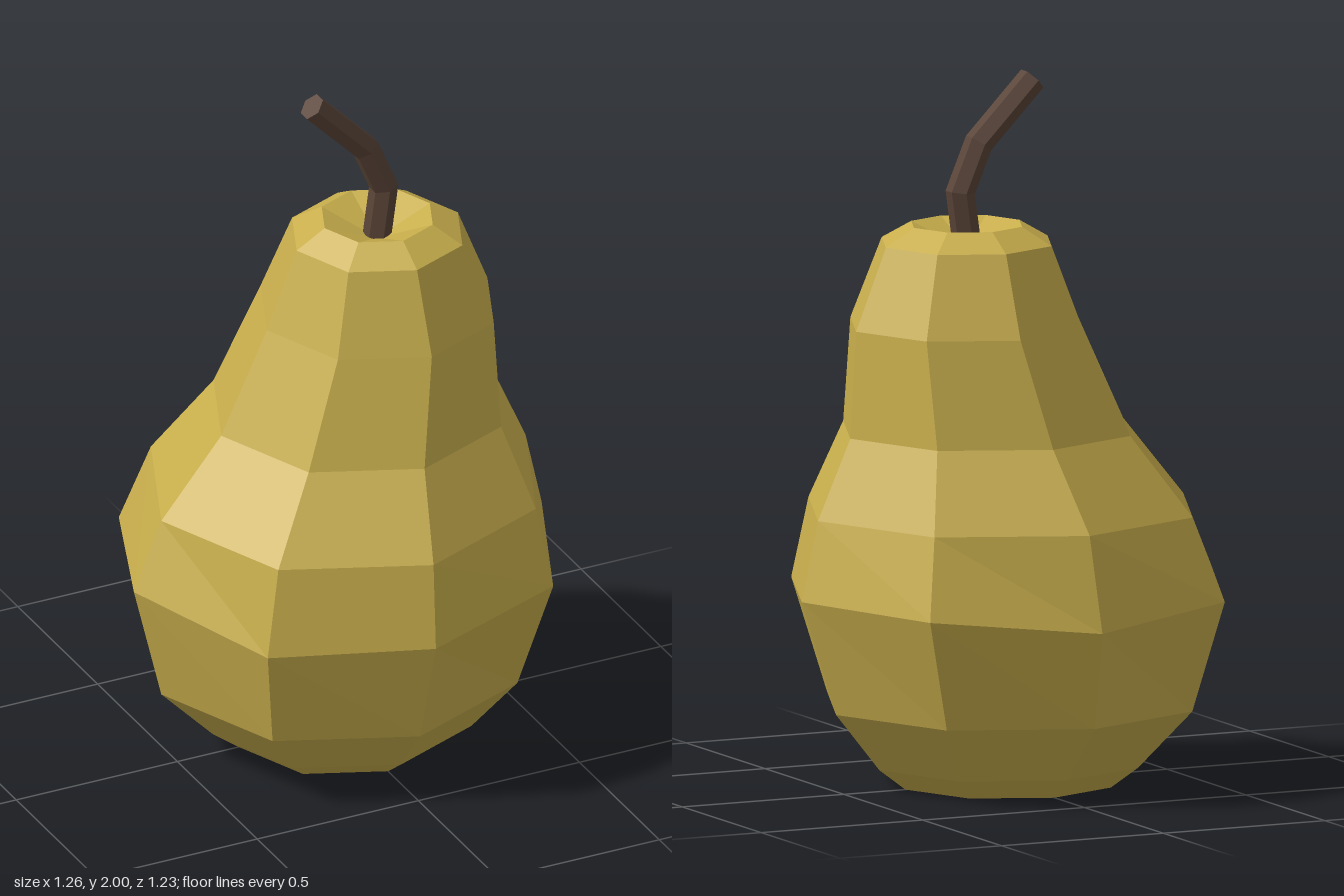
import * as THREE from 'three';

// Skin a stack of rings (arrays of Vector3 running from +x towards +z) with flat faces
function loft(rings) {
  const pos = [];
  const tri = (a, b, c) => {
    if (a.distanceTo(b) < 1e-6 || b.distanceTo(c) < 1e-6 || a.distanceTo(c) < 1e-6) return;
    for (const p of [a, b, c]) pos.push(p.x, p.y, p.z);
  };
  for (let i = 0; i < rings.length - 1; i++) {
    const low = rings[i], up = rings[i + 1], n = low.length;
    for (let j = 0; j < n; j++) {
      const k = (j + 1) % n;
      tri(low[j], up[j], up[k]);
      tri(low[j], up[k], low[k]);
    }
  }
  const geo = new THREE.BufferGeometry();
  geo.setAttribute('position', new THREE.Float32BufferAttribute(pos, 3));
  geo.computeVertexNormals();
  return geo;
}

// Eight-sided body leaning to +x at the neck, hollowed at both ends
function bodyGeometry() {
  // [y, centre x, radius]
  const profile = [
    [0.09, 0, 0], [0.07, 0, 0.17], [0, 0, 0.31], [0.06, 0, 0.39],
    [0.225, -0.013, 0.537], [0.54, 0, 0.63], [0.775, 0.015, 0.565],
    [1.0, 0.058, 0.422], [1.3, 0.12, 0.342], [1.53, 0.12, 0.25],
    [1.58, 0.12, 0.163], [1.51, 0.12, 0],
  ];
  // Slight unevenness of the belly ring
  const bellyR = [0.63, 0.63, 0.61, 0.615, 0.635, 0.645, 0.615, 0.643];
  const bellyY = [0.55, 0.545, 0.535, 0.525, 0.57, 0.54, 0.505, 0.545];
  return loft(profile.map(([y, cx, r], i) =>
    Array.from({ length: 8 }, (_, j) => {
      const a = (j * Math.PI) / 4;
      const rr = i === 5 ? bellyR[j] : r;
      return new THREE.Vector3(cx + rr * Math.cos(a), i === 5 ? bellyY[j] : y, rr * Math.sin(a));
    })));
}

// Bent six-sided stalk with mitred joints
function stemGeometry() {
  const path = [[0.115, 1.49], [0.14, 1.67], [0.083, 1.805], [-0.083, 1.975]]
    .map(([x, y]) => new THREE.Vector2(x, y));
  const dirs = path.slice(1).map((p, i) => p.clone().sub(path[i]).normalize());
  const rings = path.map((p, i) => {
    const before = dirs[Math.max(i - 1, 0)], after = dirs[Math.min(i, dirs.length - 1)];
    const t = before.clone().add(after).normalize();
    const mitre = 1 / t.dot(after);
    return Array.from({ length: 6 }, (_, j) => {
      const a = Math.PI / 6 + (j * Math.PI) / 3;
      const u = 0.04 * Math.cos(a) * mitre;
      return new THREE.Vector3(p.x + t.y * u, p.y - t.x * u, 0.04 * Math.sin(a));
    });
  });
  // End caps
  const cap = (p) => Array.from({ length: 6 }, () => new THREE.Vector3(p.x, p.y, 0));
  return loft([cap(path[0]), ...rings, cap(path[path.length - 1])]);
}

export function createModel() {
  const skin = new THREE.MeshStandardMaterial({ color: 0xc8ae4c, flatShading: true });
  skin.name = 'yellow green skin';
  const bark = new THREE.MeshStandardMaterial({ color: 0x5a4437, flatShading: true });
  bark.name = 'brown stem';

  const group = new THREE.Group();
  group.name = 'pear';
  const body = new THREE.Mesh(bodyGeometry(), skin);
  body.name = 'body';
  const stem = new THREE.Mesh(stemGeometry(), bark);
  stem.name = 'stem';
  group.add(body, stem);
  return group;
}
